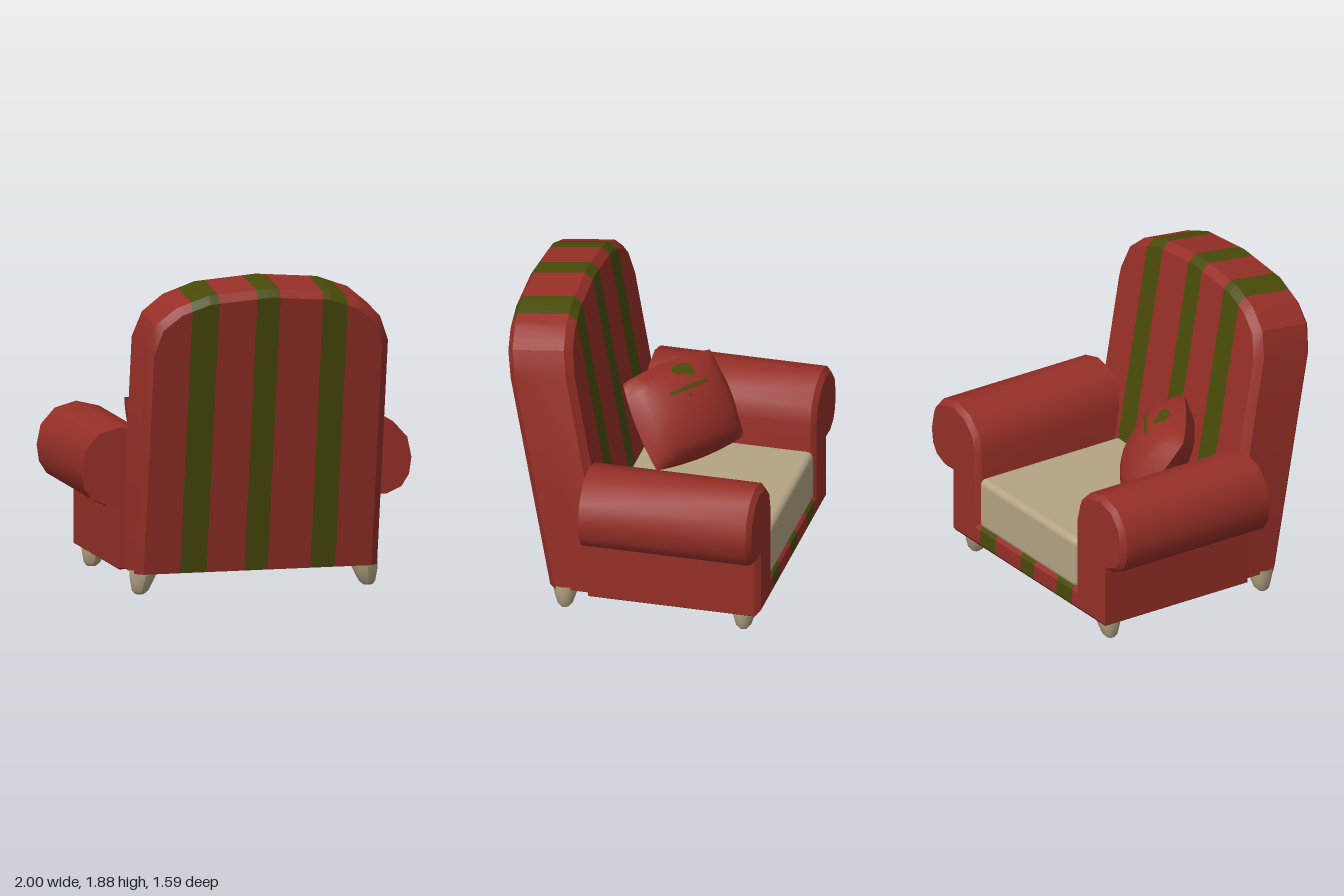
import * as THREE from 'three';
import { toCreasedNormals } from 'three/addons/utils/BufferGeometryUtils.js';
import { RoundedBoxGeometry } from 'three/addons/geometries/RoundedBoxGeometry.js';

const material = (name, color) => {
  const m = new THREE.MeshStandardMaterial({ color });
  m.name = name;
  return m;
};

export function createModel() {
  const red = material('red fabric', 0x962f27);
  const green = material('green stripe', 0x494a08);
  const beige = material('beige', 0xb5a484);
  const dark = material('dark underside', 0x380709);

  const model = new THREE.Group();
  model.name = 'armchair';
  const add = (name, geometry, mat, parent = model) => {
    const mesh = new THREE.Mesh(geometry, mat);
    mesh.name = name;
    parent.add(mesh);
    return mesh;
  };
  const group = (name) => {
    const g = new THREE.Group();
    g.name = name;
    model.add(g);
    return g;
  };
  const shapeOf = (points, s = 1) => new THREE.Shape(points.map(([x, y]) => new THREE.Vector2(s * x, y)));

  const stripes = [[-0.47, -0.31], [-0.08, 0.06], [0.32, 0.47]];
  const isStripe = (x) => stripes.some(([a, b]) => x > a && x < b);

  // Backrest: columns of cross-sections, leaning back, coloured column by column
  const outer = [[0, 1.88], [0.37, 1.85], [0.56, 1.78], [0.68, 1.68], [0.735, 1.53]];
  const inner = [[0, 1.835], [0.36, 1.805], [0.53, 1.745], [0.64, 1.655], [0.69, 1.5]];
  const heightAt = (line, x) => {
    const ax = Math.abs(x);
    let i = 1;
    while (i < line.length - 1 && ax > line[i][0]) i++;
    const [[x0, y0], [x1, y1]] = [line[i - 1], line[i]];
    return y0 + (y1 - y0) * (ax - x0) / (x1 - x0);
  };
  const front = 0.11, back = 0.5, bevel = 0.04, floor = 0.13;
  const lean = (x, y, d) => [x, y - (d - 0.15) * 0.13 * (y - floor) / 1.75, d + (y - floor) * 0.175];
  const column = (x) => {
    const end = Math.abs(x) > 0.7;
    const top = heightAt(outer, x);
    const faceTop = end ? top : heightAt(inner, x);
    const inset = end ? bevel : 0;
    return [
      lean(x, floor, front + inset), lean(x, faceTop, front + inset),
      lean(x, top, front + bevel), lean(x, top, back - bevel),
      lean(x, faceTop, back - inset), lean(x, floor, back - inset),
    ];
  };
  const half = [0.36, 0.37, 0.53, 0.56, 0.64, 0.68, 0.69, 0.735];
  const xs = [0, ...half, ...half.map((x) => -x), ...stripes.flat()].sort((a, b) => a - b);
  const faces = { red: [], green: [] };
  const quad = (list, a, b, c, d) => list.push(...a, ...b, ...c, ...a, ...c, ...d);
  for (let i = 0; i < xs.length - 1; i++) {
    const mid = (xs[i] + xs[i + 1]) / 2;
    const list = isStripe(mid) ? faces.green : faces.red;
    const l = column(xs[i]), r = column(xs[i + 1]);
    for (let p = 0; p < 6; p++) {
      const q = (p + 1) % 6;
      // mirror the diagonals so both shoulders fold alike
      if (p < 2 ? mid < 0 : mid > 0) quad(list, l[q], r[q], r[p], l[p]);
      else quad(list, l[p], l[q], r[q], r[p]);
    }
  }
  const [rightEnd, leftEnd] = [column(-0.735), column(0.735)];
  quad(faces.red, leftEnd[0], leftEnd[1], leftEnd[4], leftEnd[5]);
  quad(faces.red, rightEnd[5], rightEnd[4], rightEnd[1], rightEnd[0]);
  const backrest = group('backrest');
  for (const [list, mat, name] of [[faces.red, red, 'backrestFabric'], [faces.green, green, 'backrestStripes']]) {
    const g = new THREE.BufferGeometry();
    g.setAttribute('position', new THREE.Float32BufferAttribute(list, 3));
    add(name, toCreasedNormals(g, 0.5), mat, backrest);
  }

  // Rolled arms: bevelled at the front end, flat at the rear end
  const scroll = [[0.5, 0.13], [0.775, 0.13], [0.775, 0.515], [0.85, 0.51], [0.94, 0.55], [0.985, 0.62], [1, 0.72],
    [0.975, 0.84], [0.89, 0.935], [0.76, 0.97], [0.62, 0.935], [0.53, 0.85], [0.5, 0.74]];
  // dark strip tucked beneath the roll
  const tuck = [[0.774, 0.516], [0.774, 0.511], [0.851, 0.506], [0.915, 0.535], [0.913, 0.54], [0.85, 0.512]];
  for (const s of [1, -1]) {
    const g = new THREE.ExtrudeGeometry(shapeOf(scroll, s), {
      depth: 1.01, bevelSize: 0.03, bevelOffset: -0.03, bevelThickness: 0.03, bevelSegments: 1,
    });
    g.translate(0, 0, -0.76);
    const p = g.attributes.position;
    for (let i = 0; i < p.count; i++) p.setZ(i, Math.min(p.getZ(i), 0.25));
    const side = s > 0 ? 'left' : 'right';
    add(side + 'Arm', toCreasedNormals(g, 0.72), red);
    const strip = new THREE.ExtrudeGeometry(shapeOf(tuck, s), { depth: 0.96, bevelEnabled: false });
    add(side + 'ArmUnderside', strip.translate(0, 0, -0.73), dark);
  }

  // Base with a dark lining below
  add('base', new THREE.BoxGeometry(1.2, 0.14, 0.98), red).position.set(0, 0.201, -0.25);
  add('underside', new THREE.BoxGeometry(1.545, 0.004, 1.01), dark).position.set(0, 0.129, -0.255);

  // Striped front rail
  const rail = group('frontRail');
  const railEdges = [-0.53, ...stripes.flat(), 0.53];
  const railProfile = [[0.72, 0.13], [0.76, 0.13], [0.79, 0.16], [0.79, 0.25], [0.76, 0.28], [0.72, 0.28]];
  for (let i = 0; i < railEdges.length - 1; i++) {
    const [a, b] = [railEdges[i], railEdges[i + 1]];
    const g = new THREE.ExtrudeGeometry(shapeOf(railProfile), { depth: b - a, bevelEnabled: false });
    g.rotateY(Math.PI / 2).translate(a, 0, 0);
    const striped = isStripe((a + b) / 2);
    add(striped ? 'railStripe' : 'railPanel', g, striped ? green : red, rail);
  }

  // Seat cushion
  const seat = add('seatCushion', new RoundedBoxGeometry(0.998, 0.32, 1.065, 4, 0.04), beige);
  seat.position.set(0, 0.42, -0.253);

  // Legs: tapered, rounded feet leaning slightly outward
  const legProfile = [[0, 0], [0.025, 0.004], [0.045, 0.025], [0.06, 0.07], [0.072, 0.11], [0.078, 0.15]];
  for (const x of [-0.67, 0.67]) {
    for (const z of [-0.67, 0.41]) {
      const g = new THREE.LatheGeometry(legProfile.map(([r, y]) => new THREE.Vector2(r, y)), 12);
      const p = g.attributes.position;
      for (let i = 0; i < p.count; i++) {
        p.setX(i, p.getX(i) * 1.1 + Math.sign(x) * (0.13 - p.getY(i)) * 0.17);
      }
      g.computeVertexNormals();
      add('leg', g, beige).position.set(x, 0, z);
    }
  }

  // Throw pillow: two bulging sheets joined at the seam, tilted against the right arm
  const pillow = group('pillow');
  const w = 0.335, h = 0.272;
  const bulge = (geometry, lift = 0) => {
    const p = geometry.attributes.position;
    for (let i = 0; i < p.count; i++) {
      const a = p.getX(i) / w, b = p.getY(i) / h;
      const ka = Math.max(0, 1 - a * a), kb = Math.max(0, 1 - b * b);
      p.setXYZ(i, a * w * (1 + 0.07 * kb), b * h * (1 + 0.1 * ka), 0.172 * Math.sqrt(ka * kb) + lift);
    }
    geometry.computeVertexNormals();
    return geometry;
  };
  const sheet = () => bulge(new THREE.PlaneGeometry(2 * w, 2 * h, 12, 12));
  add('pillowFront', sheet(), red, pillow);
  add('pillowBack', sheet().rotateY(Math.PI), red, pillow);
  // painted marks on the pillow
  const mark = (geometry, x, y) => add('pillowMark', bulge(geometry.translate(x, y, 0), 0.006), green, pillow);
  mark(new THREE.PlaneGeometry(0.27, 0.02, 12, 2), -0.01, 0.105);
  mark(new THREE.CircleGeometry(0.042, 12).scale(1.7, 0.7, 1), 0.02, 0.21);
  mark(new THREE.CircleGeometry(0.032, 10), 0.05, 0.185);
  mark(new THREE.CircleGeometry(0.012, 6), -0.03, 0.06);

  const u = new THREE.Vector3(-0.82, 0, -0.57).normalize();
  const n = new THREE.Vector3(0.473, 0.565, -0.68).normalize();
  const v = new THREE.Vector3().crossVectors(n, u).normalize();
  n.crossVectors(u, v);
  pillow.applyMatrix4(new THREE.Matrix4().makeBasis(u, v, n).setPosition(-0.28, 0.86, -0.05));

  return model;
}
